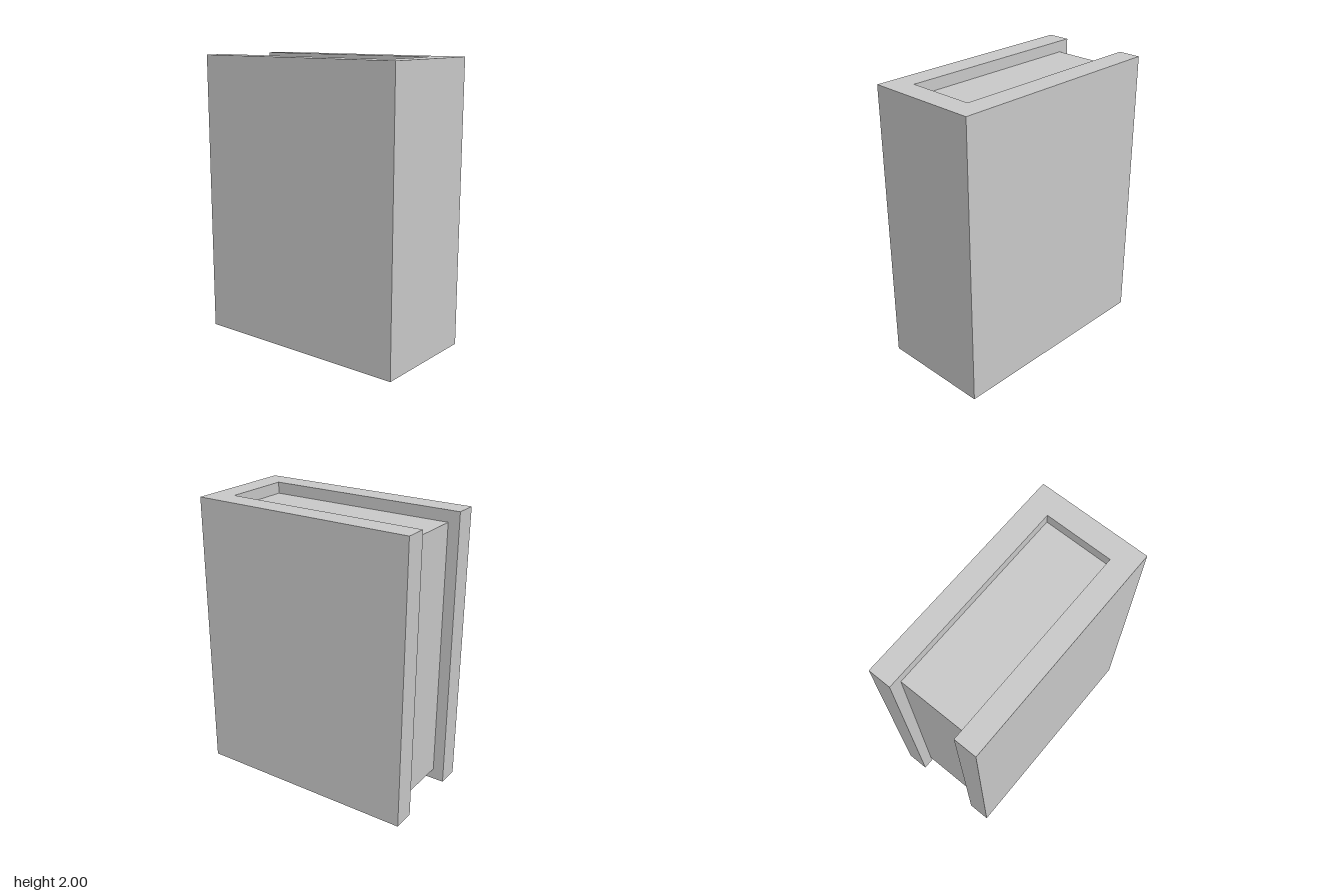
import * as THREE from 'three';

export function createModel() {
  const book = new THREE.Group();
  book.name = 'book';
  const grey = new THREE.MeshStandardMaterial({ color: 0xcccccc });
  grey.name = 'plainGrey';

  // Cover: U-shaped outline (two boards joined by the spine at +x), extruded upwards
  const outline = [
    [-0.8, -0.4], [0.8, -0.4], [0.8, 0.4], [-0.8, 0.4],
    [-0.8, 0.24], [0.64, 0.24], [0.64, -0.24], [-0.8, -0.24],
  ].map(([x, z]) => new THREE.Vector2(x, z));
  const coverGeometry = new THREE.ExtrudeGeometry(new THREE.Shape(outline), { depth: 2, bevelEnabled: false });
  coverGeometry.rotateX(-Math.PI / 2);
  const cover = new THREE.Mesh(coverGeometry, grey);
  cover.name = 'cover';

  // Page block: set back from the top, bottom and open edge of the cover
  const pages = new THREE.Mesh(new THREE.BoxGeometry(1.36, 1.84, 0.48), grey);
  pages.name = 'pages';
  pages.position.set(-0.04, 1, 0);

  book.add(cover, pages);
  return book;
}
